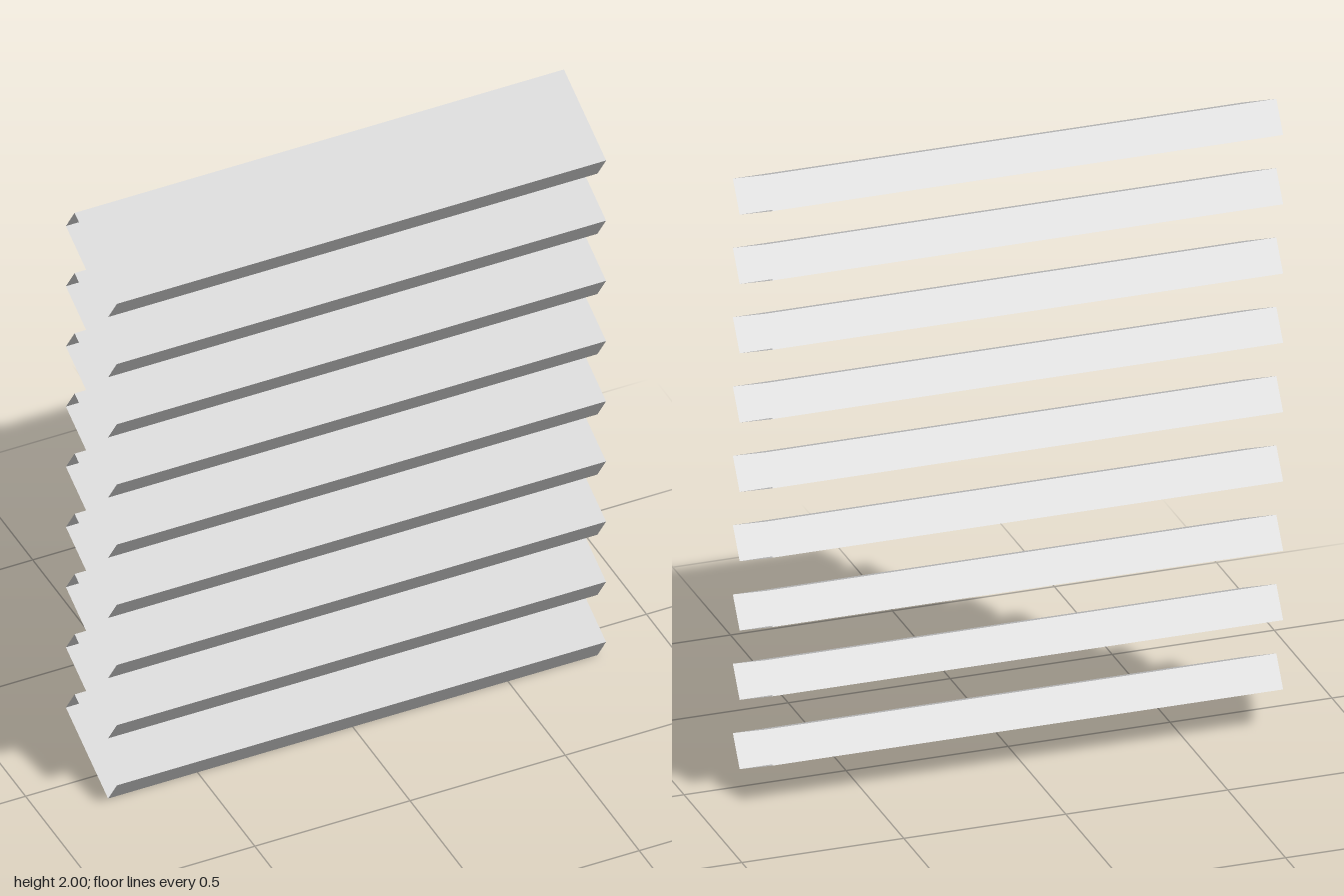
import * as THREE from 'three';

const COUNT = 9;
const HALF_WIDTH = 0.788;
const SLAT_HEIGHT = 0.225;
const PITCH = (2 - SLAT_HEIGHT) / (COUNT - 1);

// Tilted slat cross-section as [z, y]: front tip, top, back tip, bottom
const SECTION = [[0.172, 0.09], [-0.113, SLAT_HEIGHT], [-0.172, 0.135], [0.113, 0]];

// Hollow four-sided sleeve, open at both ends, with flat faces
function slatGeometry() {
  const positions = [];
  SECTION.forEach(([z0, y0], i) => {
    const [z1, y1] = SECTION[(i + 1) % SECTION.length];
    const a = [HALF_WIDTH, y0, z0], b = [HALF_WIDTH, y1, z1];
    const c = [-HALF_WIDTH, y1, z1], d = [-HALF_WIDTH, y0, z0];
    positions.push(...a, ...b, ...c, ...a, ...c, ...d);
  });
  const geometry = new THREE.BufferGeometry();
  geometry.setAttribute('position', new THREE.Float32BufferAttribute(positions, 3));
  geometry.computeVertexNormals();
  return geometry;
}

export function createModel() {
  const model = new THREE.Group();
  model.name = 'louvre';
  const geometry = slatGeometry();
  const material = new THREE.MeshStandardMaterial({
    color: 0xcccccc, flatShading: true, side: THREE.DoubleSide,
  });

  // Evenly stacked slats
  for (let i = 0; i < COUNT; i++) {
    const slat = new THREE.Mesh(geometry, material);
    slat.name = `slat${i + 1}`;
    slat.position.y = i * PITCH;
    model.add(slat);
  }
  return model;
}
